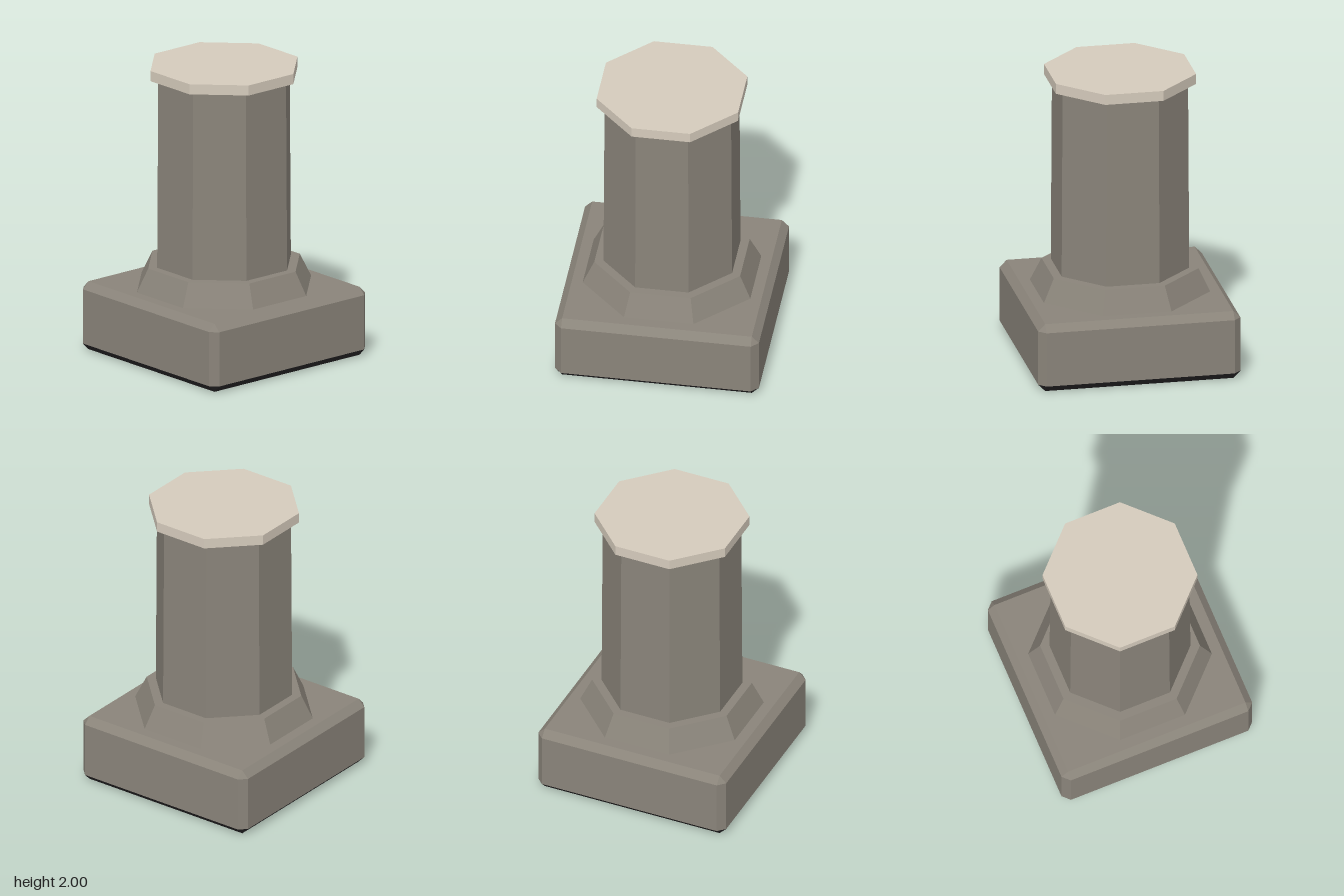
import * as THREE from 'three';

const stone = new THREE.MeshStandardMaterial({ color: 0x8a847a });
stone.name = 'grey stone';
const pale = new THREE.MeshStandardMaterial({ color: 0xd5cbbc });
pale.name = 'pale stone';
const dark = new THREE.MeshStandardMaterial({ color: 0x2a282a });
dark.name = 'dark underside';

function part(name, geometry, material) {
  const mesh = new THREE.Mesh(geometry, material);
  mesh.name = name;
  return mesh;
}

// Eight-sided block with flats facing the four main directions, sized by the half width across flats
function octagon(name, halfTop, halfBottom, y0, y1, material, open = false) {
  const k = 1 / Math.cos(Math.PI / 8);
  const g = new THREE.CylinderGeometry(halfTop * k, halfBottom * k, y1 - y0, 8, 1, open, Math.PI / 8)
    .toNonIndexed();
  g.translate(0, (y0 + y1) / 2, 0);
  g.computeVertexNormals();
  return part(name, g, material);
}

// Square with cut corners, counter-clockwise seen from below
function ring(outer, inner, y) {
  return [[outer, -inner], [outer, inner], [inner, outer], [-inner, outer],
    [-outer, inner], [-outer, -inner], [-inner, -outer], [inner, -outer]]
    .map(([x, z]) => new THREE.Vector3(x, y, z));
}

// Joins rings from bottom to top, with optional flat end faces
function loft(rings, capBottom, capTop) {
  const points = [];
  const tri = (a, b, c) => {
    const area = b.clone().sub(a).cross(c.clone().sub(a)).length();
    if (area > 1e-8) points.push(a, b, c);
  };
  for (let r = 0; r < rings.length - 1; r++) {
    const lo = rings[r], hi = rings[r + 1];
    for (let i = 0; i < 8; i++) {
      const j = (i + 1) % 8;
      tri(lo[i], hi[i], hi[j]);
      tri(lo[i], hi[j], lo[j]);
    }
  }
  const bottom = rings[0], top = rings[rings.length - 1];
  for (let i = 1; i < 7; i++) {
    if (capBottom) tri(bottom[0], bottom[i], bottom[i + 1]);
    if (capTop) tri(top[0], top[i + 1], top[i]);
  }
  const g = new THREE.BufferGeometry().setFromPoints(points);
  g.computeVertexNormals();
  return g;
}

export function createModel() {
  const model = new THREE.Group();
  model.name = 'pedestal';

  // Square plinth with bevelled edges
  const half = 0.685, bevel = 0.048, height = 0.472, flat = half - bevel;
  const foot = ring(flat, flat, 0);
  const low = ring(half, flat, bevel);
  const high = ring(half, flat, height - bevel);
  const top = ring(flat, flat, height);
  model.add(part('plinthUnderside', loft([foot, low], true, false), dark));
  model.add(part('plinth', loft([low, high, top], false, true), stone));

  // Sloping collar, slightly tapered shaft and flat cap
  model.add(octagon('collar', 0.49, 0.563, height, 0.63, stone));
  model.add(octagon('shaft', 0.425, 0.432, 0.63, 1.93, stone, true));
  model.add(octagon('cap', 0.475, 0.475, 1.93, 2, pale));
  return model;
}
